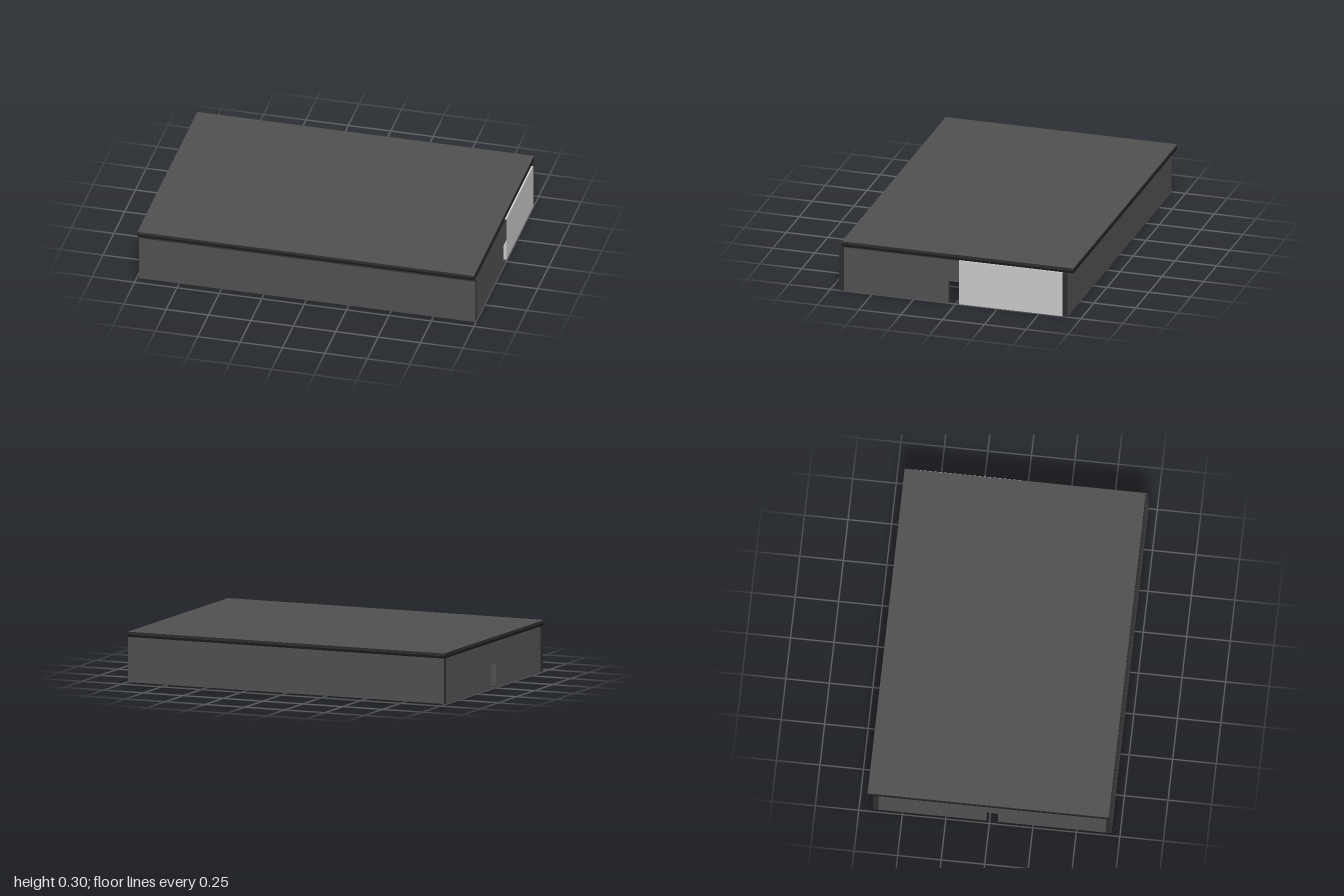
import * as THREE from 'three';

const mat = (name, color) => {
  const m = new THREE.MeshStandardMaterial({ color });
  m.name = name;
  return m;
};

export function createModel() {
  const group = new THREE.Group();
  const panel = mat('charcoal panel', 0x505050);
  const edge = mat('dark edging', 0x2e2e2e);
  const shadowEdge = mat('black lower edging', 0x1a1a1a);
  const pale = mat('pale panel', 0xc8c8c8);

  // Box from min/max corners; materials are given per axis (x, y, z faces)
  const box = (name, [x0, y0, z0], [x1, y1, z1], mx, my, mz) => {
    const geo = new THREE.BoxGeometry(x1 - x0, y1 - y0, z1 - z0);
    const mesh = new THREE.Mesh(geo, [mx, mx, my, my, mz, mz]);
    mesh.position.set((x0 + x1) / 2, (y0 + y1) / 2, (z0 + z1) / 2);
    mesh.name = name;
    group.add(mesh);
  };

  const H = 0.267, T = 0.032;            // wall height and thickness
  const X0 = -0.985, X1 = 0.997;         // outer faces of the frame
  const Z0 = -0.67, Z1 = 0.70;
  const gap0 = -0.018, gap1 = 0.048;     // opening between the side panels

  // Lid, slightly offset from the frame, with two-tone edging
  box('lidTop', [-1, 0.281, -0.70], [0.985, 0.297, 0.686], edge, panel, edge);
  box('lidBottom', [-1, H, -0.70], [0.985, 0.281, 0.686], shadowEdge, panel, shadowEdge);

  // Long walls with exposed end edging
  box('frontWall', [X0, 0, Z1 - T], [X1, H, Z1], edge, edge, panel);
  box('backWall', [X0, 0, Z0], [X1, H, Z0 + T], edge, edge, panel);

  // Each side: two panels joined by a bridge above a notch
  for (const [side, x0, x1, backMat] of [
    ['left', X1 - T, X1, pale],
    ['right', X0, X0 + T, panel],
  ]) {
    box(side + 'FrontPanel', [x0, 0, gap1], [x1, H, Z1 - T], panel, edge, panel);
    box(side + 'BackPanel', [x0, 0, Z0 + T], [x1, H, gap0], backMat, backMat, backMat);
    box(side + 'Bridge', [x0, 0.135, gap0], [x1, H, gap1], panel, edge, panel);
  }
  return group;
}
